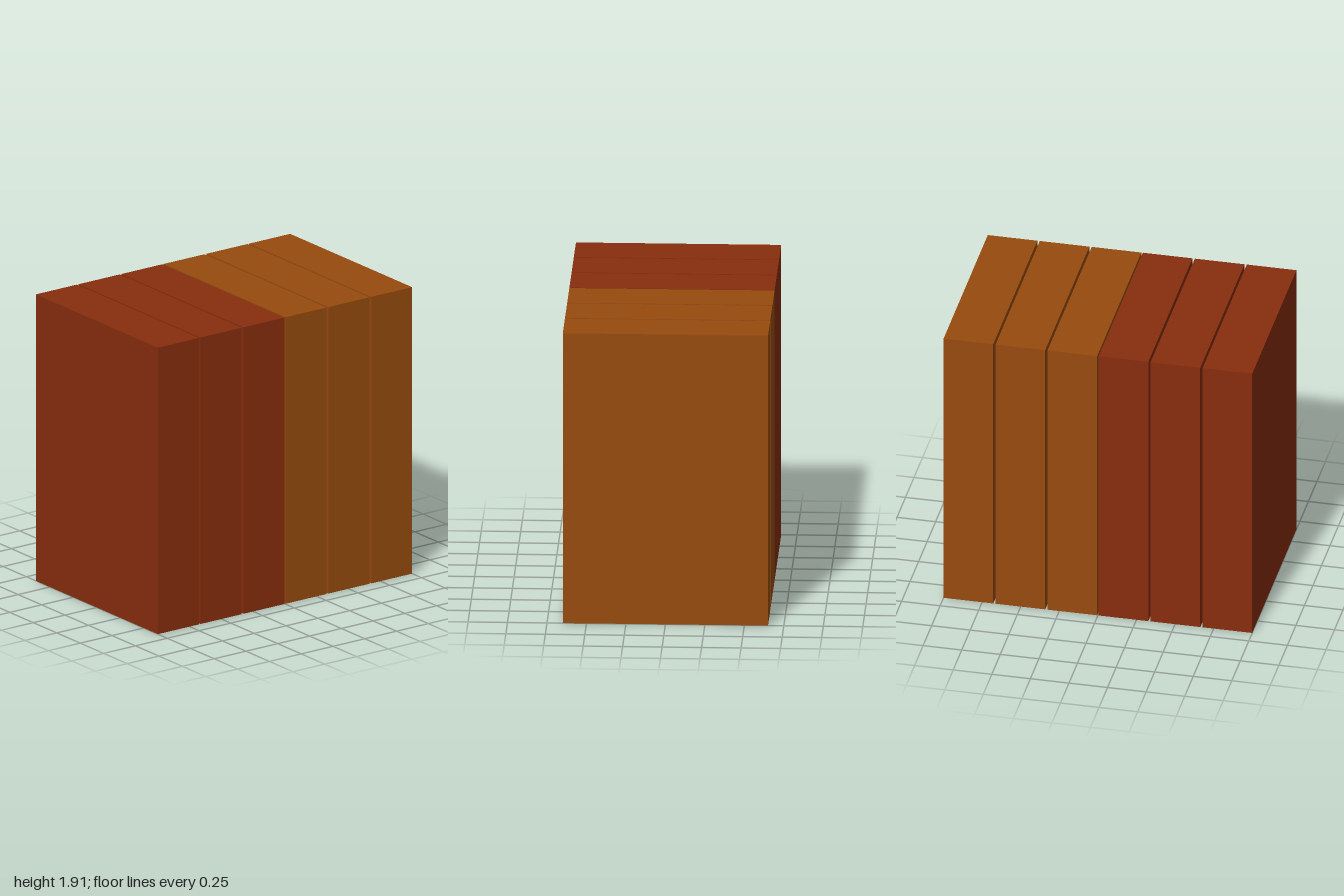
import * as THREE from 'three';

const WIDTH = 1.3, HEIGHT = 1.915, THICK = 0.3217;

export function createModel() {
  const model = new THREE.Group();
  model.name = 'slabStack';

  const red = new THREE.MeshStandardMaterial({ color: 0x882d0e });
  red.name = 'russet red';
  const amber = new THREE.MeshStandardMaterial({ color: 0x974b0e });
  amber.name = 'amber brown';

  const slab = new THREE.BoxGeometry(WIDTH, HEIGHT, THICK);

  // Three upright slabs in each half, mirrored about z = 0, with narrow gaps between
  for (const [side, material, label] of [[1, red, 'front'], [-1, amber, 'back']]) {
    const half = new THREE.Group();
    half.name = `${label}Slabs`;
    for (let i = 0; i < 3; i++) {
      const mesh = new THREE.Mesh(slab, material);
      mesh.name = `${label}Slab${i + 1}`;
      mesh.position.set(0, HEIGHT / 2, side * (1 - THICK / 2 - i * (THICK + 0.015)));
      half.add(mesh);
    }
    model.add(half);
  }
  return model;
}
